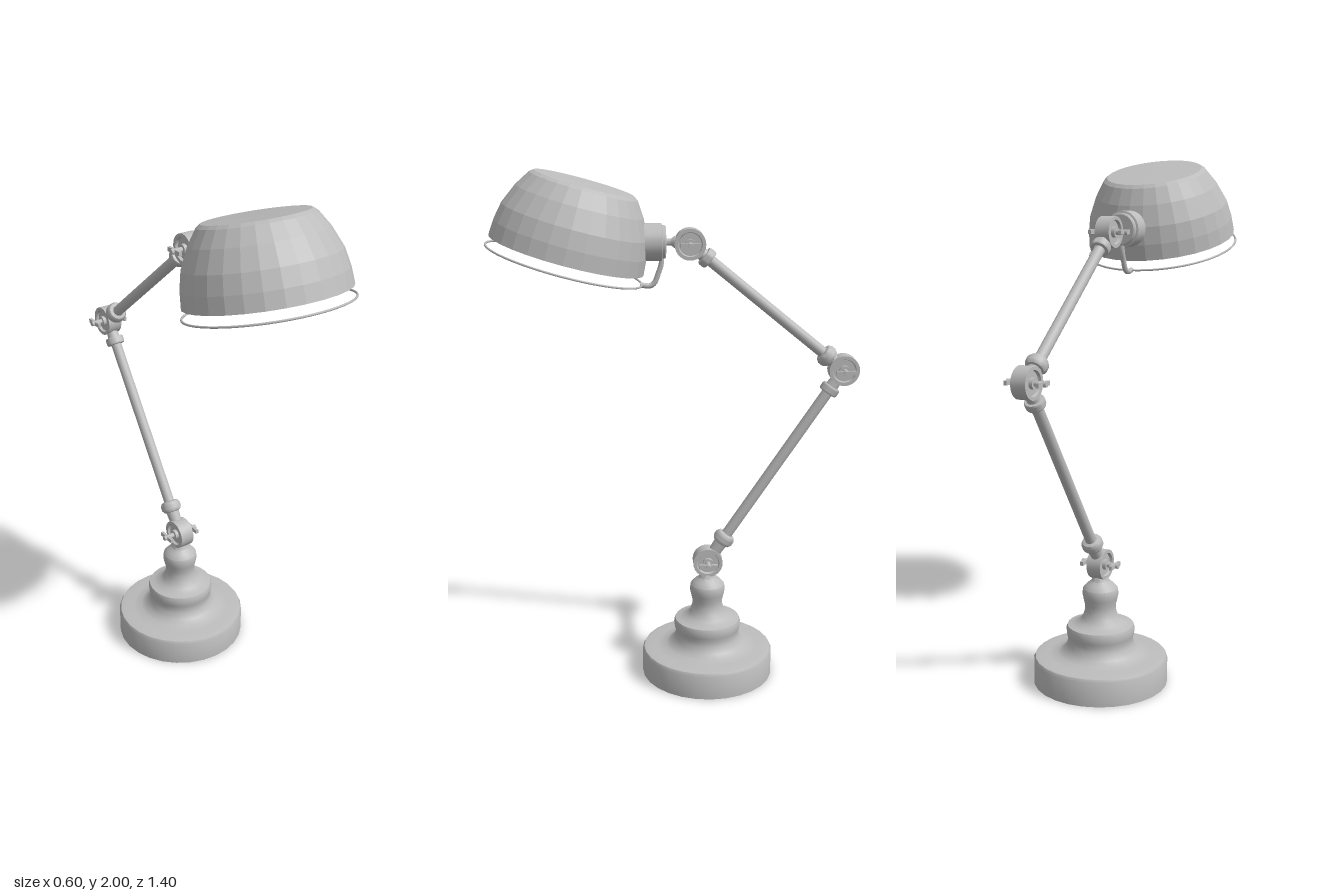
import * as THREE from 'three';
import { toCreasedNormals } from 'three/addons/utils/BufferGeometryUtils.js';

export function createModel() {
  const lamp = new THREE.Group();
  lamp.name = 'deskLamp';
  const metal = new THREE.MeshStandardMaterial({ color: 0xbcbcbc, side: THREE.DoubleSide });
  metal.name = 'greyMetal';

  const add = (parent, name, geometry, x = 0, y = 0, z = 0) => {
    const mesh = new THREE.Mesh(geometry, metal);
    mesh.name = name;
    mesh.position.set(x, y, z);
    parent.add(mesh);
    return mesh;
  };
  const lathe = (profile, segments, crease = 0.6) => toCreasedNormals(
    new THREE.LatheGeometry(profile.map(([r, y]) => new THREE.Vector2(r, y)), segments), crease);

  // Hollow stepped base, open underneath
  add(lamp, 'base', lathe([
    [0.26, 0], [0.26, 0.095], [0.254, 0.106], [0.235, 0.11], [0.2, 0.111], [0.165, 0.117],
    [0.143, 0.13], [0.129, 0.155], [0.126, 0.175], [0.13, 0.19], [0.133, 0.215], [0.128, 0.229],
    [0.11, 0.233], [0.085, 0.243], [0.068, 0.262], [0.06, 0.29], [0.06, 0.31], [0.066, 0.335],
    [0.07, 0.355], [0.067, 0.375], [0.052, 0.392], [0.035, 0.405], [0.028, 0.425], [0, 0.43],
  ], 28), 0, 0, -0.127);

  // Pivot discs with a rimmed face and a wing nut on each side
  const makeJoint = (name, y, z) => {
    const joint = new THREE.Group();
    joint.name = name;
    joint.position.set(0, y, z);
    lamp.add(joint);
    add(joint, 'pivotDisc', lathe([
      [0, -0.018], [0.042, -0.018], [0.045, -0.029], [0.058, -0.029],
      [0.058, 0.029], [0.045, 0.029], [0.042, 0.018], [0, 0.018],
    ], 28)).rotation.z = Math.PI / 2;
    add(joint, 'pivotPin', new THREE.CylinderGeometry(0.01, 0.01, 0.156, 12)).rotation.z = Math.PI / 2;
    for (const s of [-1, 1]) {
      add(joint, 'pinHub', new THREE.CylinderGeometry(0.02, 0.02, 0.018, 16), s * 0.023).rotation.z = Math.PI / 2;
      add(joint, 'wingNut', new THREE.BoxGeometry(0.012, 0.016, 0.074), s * 0.062);
    }
    return joint.position;
  };
  const foot = makeJoint('lowerJoint', 0.472, -0.127);
  const elbow = makeJoint('elbowJoint', 1.248, -0.64);
  const head = makeJoint('upperJoint', 1.727, -0.053);

  // Round bead and flatter ring that end each arm
  const bead = lathe([[0.022, -0.024], [0.034, -0.02], [0.041, -0.008], [0.041, 0.008],
    [0.034, 0.02], [0.022, 0.024]], 24);
  const ring = lathe([[0.022, -0.016], [0.034, -0.015], [0.037, -0.009], [0.037, 0.009],
    [0.034, 0.015], [0.022, 0.016]], 24);

  const makeArm = (name, from, to, beadAt, ringAt) => {
    const arm = new THREE.Group();
    arm.name = name;
    const length = from.distanceTo(to);
    arm.position.copy(from);
    arm.rotation.x = Math.atan2(to.z - from.z, to.y - from.y);
    lamp.add(arm);
    add(arm, 'rod', new THREE.CylinderGeometry(0.021, 0.021, length - 0.12, 20), 0, length / 2);
    add(arm, 'lowerNeck', new THREE.CylinderGeometry(0.028, 0.024, beadAt - 0.045, 20), 0, (beadAt + 0.045) / 2);
    add(arm, 'upperNeck', new THREE.CylinderGeometry(0.022, 0.026, ringAt - 0.045, 20), 0, length - (ringAt + 0.045) / 2);
    add(arm, 'bead', bead, 0, beadAt);
    add(arm, 'ring', ring, 0, length - ringAt);
  };
  makeArm('lowerArm', foot, elbow, 0.115, 0.092);
  makeArm('upperArm', elbow, head, 0.085, 0.082);

  // Socket behind the shade, joined to the upper joint by a thin stem
  add(lamp, 'stem', lathe([
    [0.024, 0], [0.022, 0.012], [0.013, 0.025], [0.013, 0.045], [0.02, 0.06],
  ], 16), 0, 1.734, -0.008).rotation.x = Math.PI / 2;
  add(lamp, 'socket', lathe([
    [0, 0], [0.056, 0], [0.061, 0.004], [0.061, 0.014], [0.069, 0.016], [0.069, 0.125], [0, 0.125],
  ], 24), 0, 1.734, 0.036).rotation.x = Math.PI / 2;

  // Tilted faceted shade with a wire ring below the rim
  const shade = new THREE.Group();
  shade.name = 'shade';
  shade.position.set(0, 1.69, 0.4);
  shade.rotation.x = -0.27;
  lamp.add(shade);
  add(shade, 'shadeShell', lathe([
    [0.286, 0.003], [0.292, 0], [0.287, 0.06], [0.273, 0.125], [0.239, 0.2],
    [0.202, 0.256], [0.187, 0.267], [0, 0.27],
  ], 28, 0.01));
  add(shade, 'wireRing', new THREE.TorusGeometry(0.295, 0.004, 8, 64), 0, -0.036).rotation.x = Math.PI / 2;

  // Bent wire carrying the ring from the socket
  const bend = new THREE.CatmullRomCurve3([
    [1.69, 0.052], [1.655, 0.053], [1.62, 0.064], [1.585, 0.078], [1.573, 0.095], [1.577, 0.132],
  ].map(([y, z]) => new THREE.Vector3(0, y, z)));
  add(lamp, 'wireBracket', new THREE.TubeGeometry(bend, 24, 0.01, 10));

  return lamp;
}
